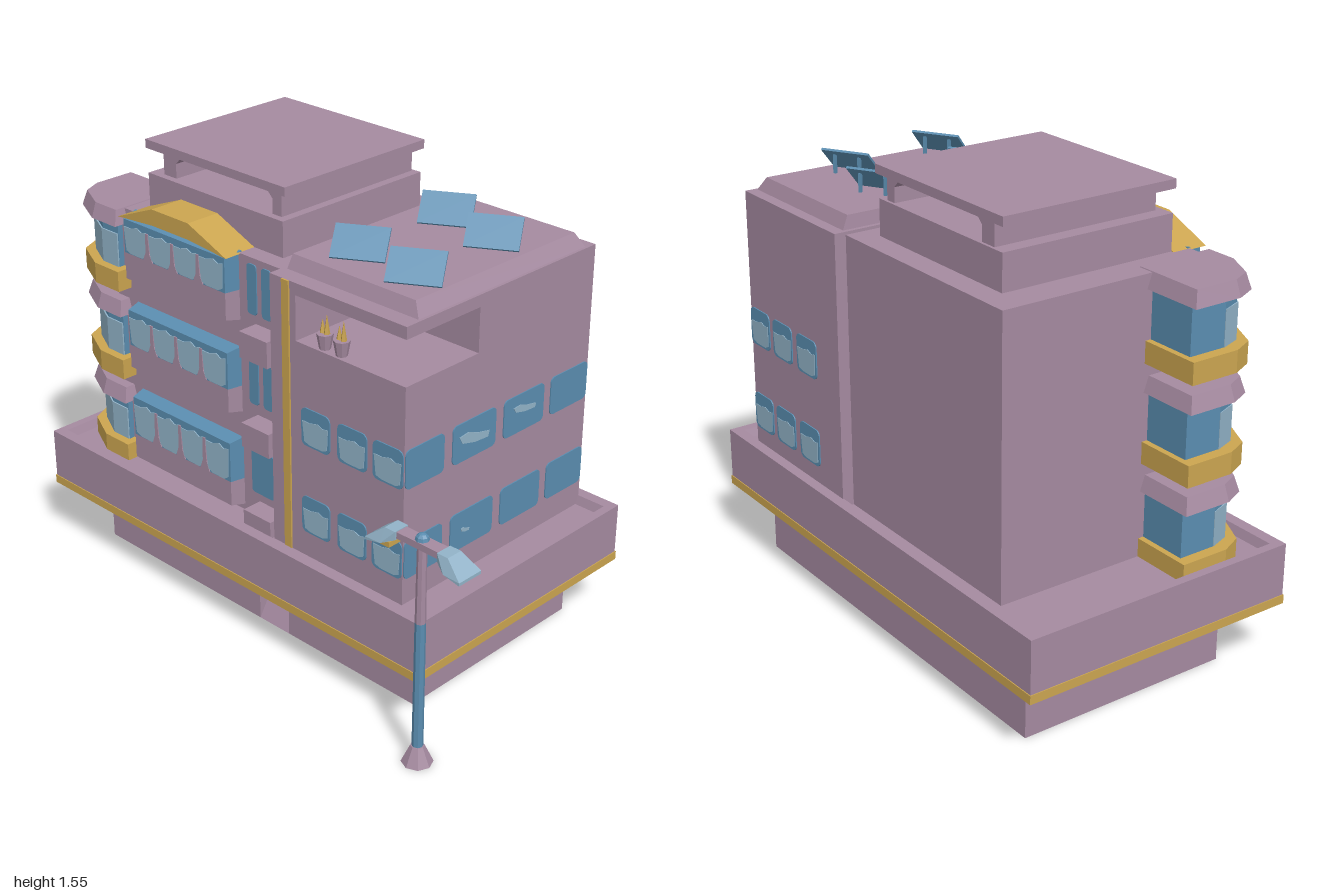
import * as THREE from 'three';
import { ConvexGeometry } from 'three/addons/geometries/ConvexGeometry.js';

const material = (name, color) =>
  new THREE.MeshStandardMaterial({ name, color, side: THREE.DoubleSide, flatShading: true });
const mauve = material('mauve plaster', 0xa58aa0);
const gold = material('gold trim', 0xcba550);
const blue = material('blue glass', 0x5a8db0);
const pale = material('pale reflection', 0x92b3c8);

export function createModel() {
  const model = new THREE.Group();

  const add = (name, geometry, mat, parent = model) => {
    const mesh = new THREE.Mesh(geometry, mat);
    mesh.name = name;
    parent.add(mesh);
    return mesh;
  };
  const box = (name, mat, x0, x1, y0, y1, z0, z1) => {
    const mesh = add(name, new THREE.BoxGeometry(x1 - x0, y1 - y0, z1 - z0), mat);
    mesh.position.set((x0 + x1) / 2, (y0 + y1) / 2, (z0 + z1) / 2);
    return mesh;
  };
  const hull = (name, mat, points) =>
    add(name, new ConvexGeometry(points.map((p) => new THREE.Vector3(...p))), mat);
  // Rectangle corners, level (y fixed) or upright (z fixed)
  const level = (x0, x1, z0, z1, y) => [[x0, y, z0], [x1, y, z0], [x1, y, z1], [x0, y, z1]];
  const upright = (x0, x1, y0, y1, z) => [[x0, y0, z], [x1, y0, z], [x1, y1, z], [x0, y1, z]];
  // Vertical prism over an [x, z] outline, optionally shrunk at the top
  const prism = (name, mat, outline, y0, y1, shrink = 1) => {
    const shape = new THREE.Shape(outline.map(([x, z]) => new THREE.Vector2(x, -z)));
    const g = new THREE.ExtrudeGeometry(shape, { depth: y1 - y0, bevelEnabled: false });
    g.rotateX(-Math.PI / 2);
    const p = g.attributes.position;
    for (let i = 0; i < p.count; i++) {
      if (p.getY(i) > (y1 - y0) / 2) {
        p.setX(i, -0.8 + (p.getX(i) + 0.8) * shrink);
        p.setZ(i, 0.2 + (p.getZ(i) - 0.2) * shrink);
      }
    }
    g.computeVertexNormals();
    add(name, g, mat).position.y = y0;
  };
  // Thin painted plate on a wall
  const plate = (name, mat, shape, x, y, z, turn = 0, depth = 0.004) => {
    const g = new THREE.ExtrudeGeometry(shape, { depth, bevelEnabled: false, curveSegments: 3 });
    const mesh = add(name, g, mat);
    mesh.position.set(x, y, z);
    mesh.rotation.y = turn;
  };
  const rounded = (w, h, r) => {
    const s = new THREE.Shape(), a = w / 2 - r, b = h / 2 - r;
    s.absarc(a, b, r, 0, Math.PI / 2);
    s.absarc(-a, b, r, Math.PI / 2, Math.PI);
    s.absarc(-a, -b, r, Math.PI, Math.PI * 1.5);
    s.absarc(a, -b, r, Math.PI * 1.5, Math.PI * 2);
    return s;
  };
  const blob = (w, h, points) =>
    new THREE.Shape(points.map(([u, v]) => new THREE.Vector2(u * w, v * h)));
  const wavy = [[-0.5, 0.4], [-0.42, -0.42], [-0.2, -0.5], [0.3, -0.5], [0.46, -0.4],
    [0.5, 0.45], [0.3, 0.4], [0.1, 0.5], [-0.2, 0.4]];
  const streak = [[-0.5, 0.4], [-0.4, -0.1], [0, -0.4], [0.45, -0.5], [0.5, -0.1], [0.1, 0.15], [-0.2, 0.5]];

  // Hollow base with a recessed ramp at the front
  box('baseBack', mauve, -0.86, 0.62, 0, 0.225, -0.46, -0.45);
  box('baseRight', mauve, -0.86, -0.85, 0, 0.225, -0.46, 0.3);
  box('baseLeft', mauve, 0.61, 0.62, 0, 0.225, -0.46, 0.3);
  box('baseFront', mauve, -0.86, -0.08, 0, 0.225, 0.29, 0.3);
  box('baseFront', mauve, 0.06, 0.62, 0, 0.225, 0.29, 0.3);
  const ramp = new THREE.BufferGeometry();
  ramp.setAttribute('position', new THREE.Float32BufferAttribute([
    -0.08, 0, 0.3, 0.06, 0, 0.3, 0.06, 0.22, 0.17, -0.08, 0.22, 0.17,
    -0.08, 0.22, 0.3, 0.06, 0.22, 0.3], 3));
  ramp.setIndex([0, 1, 2, 0, 2, 3, 0, 3, 4, 1, 5, 2]);
  const rampFlat = ramp.toNonIndexed();
  rampFlat.computeVertexNormals();
  add('entranceRamp', rampFlat, mauve);

  // Terrace with parapet and gold band
  box('terrace', mauve, -0.997, 0.757, 0.22, 0.4, -0.547, 0.437);
  box('terraceBand', gold, -1, 0.76, 0.222, 0.252, -0.55, 0.44);
  const X0 = -0.997, X1 = 0.757, Z0 = -0.547, Z1 = 0.437;
  for (const [z, s] of [[Z0, 1], [Z1, -1]])
    hull('parapet', mauve, [...level(X0, X1, z, z + s * 0.055, 0.39), ...level(X0, X1, z, z + s * 0.04, 0.43)]);
  for (const [x, s] of [[X0, 1], [X1, -1]])
    hull('parapet', mauve, [...level(x, x + s * 0.045, Z0, Z1, 0.39), ...level(x, x + s * 0.03, Z0, Z1, 0.43)]);

  // Left-hand wing with roof tier and canopy
  box('mainWing', mauve, -0.75, 0.06, 0.4, 1.32, -0.47, 0.3);
  box('roofTier', mauve, -0.64, -0.01, 1.32, 1.44, -0.39, 0.235);
  box('canopySlab', mauve, -0.655, -0.005, 1.52, 1.55, -0.4, 0.23);
  for (const [x0, x1, s] of [[-0.59, -0.53, 1], [-0.08, -0.04, -1]]) {
    box('canopyWall', mauve, x0, x1, 1.44, 1.52, -0.38, 0.21);
    const inner = s > 0 ? x1 : x0;
    hull('canopyBracket', mauve, [-0.38, 0.21].flatMap((z) =>
      [[inner, 1.49, z], [inner, 1.52, z], [inner + s * 0.03, 1.52, z]]));
  }

  // Corner-loggia wing, stacked around the opening
  box('sideWingBody', mauve, 0.06, 0.62, 0.4, 1.14, -0.51, 0.36);
  box('sideWingPier', mauve, 0.06, 0.17, 1.14, 1.29, -0.51, 0.36);
  box('sideWingRear', mauve, 0.17, 0.62, 1.14, 1.29, -0.51, 0.04);
  box('sideWingTop', mauve, 0.06, 0.62, 1.29, 1.33, -0.51, 0.36);
  hull('sideRoof', mauve, [...level(0.075, 0.61, -0.47, 0.3, 1.33), ...level(0.08, 0.58, -0.45, 0.28, 1.375)]);
  box('goldStripe', gold, 0.115, 0.145, 0.4, 1.33, 0.36, 0.366);

  // Potted plants in the loggia
  for (const x of [0.27, 0.34]) {
    add('plantPot', new THREE.CylinderGeometry(0.027, 0.018, 0.05, 8), mauve).position.set(x, 1.165, 0.335);
    for (const [dx, h] of [[-0.01, 0.05], [0.008, 0.07]])
      add('plantLeaf', new THREE.ConeGeometry(0.011, h, 5), gold).position.set(x + dx, 1.185 + h / 2, 0.335);
  }

  // Wing windows on front, back and side
  for (const y of [0.555, 0.865]) {
    for (const x of [0.255, 0.41, 0.557]) {
      plate('wingWindow', blue, rounded(0.122, 0.13, 0.02), x, y, 0.36);
      plate('wingReflection', pale, blob(0.11, 0.085, wavy), x, y - 0.015, 0.362);
      plate('wingWindow', blue, rounded(0.122, 0.13, 0.02), x, y, -0.51, Math.PI);
      plate('wingReflection', pale, blob(0.11, 0.085, wavy), x, y - 0.015, -0.512, Math.PI);
    }
    for (const [z, w] of [[0.272, 0.17], [0.048, 0.2], [-0.188, 0.195], [-0.413, 0.185]])
      plate('sideWindow', blue, rounded(w, 0.132, 0.018), 0.62, y, z, Math.PI / 2);
  }
  for (const [z, y, w, h] of [[0.05, 0.867, 0.14, 0.05], [-0.19, 0.878, 0.11, 0.035], [0.08, 0.552, 0.04, 0.02]])
    plate('sideReflection', pale, blob(w, h, streak), 0.622, y, z, Math.PI / 2);

  // Projecting front bays: plaster below, glass above
  for (const [bottom, sill, top] of [[1.09, 1.195, 1.325], [0.765, 0.86, 1], [0.42, 0.52, 0.675]]) {
    hull('bayPanel', mauve, [...upright(-0.65, -0.14, bottom, sill, 0.29), ...upright(-0.638, -0.152, bottom + 0.012, sill, 0.352)]);
    hull('bayGlass', blue, [...upright(-0.65, -0.14, sill, top, 0.29), ...upright(-0.638, -0.152, sill, top - 0.012, 0.352)]);
    for (let i = 0; i < 4; i++) {
      const x = -0.58 + i * 0.122;
      plate('bayReflection', pale, blob(0.11, top - sill - 0.03, wavy), x, (sill + top) / 2 - 0.012, 0.351);
      if (i < 3)
        plate('curtain', mauve, blob(0.045, top - sill - 0.035, [[-0.5, -0.5], [0.5, -0.5], [0.2, -0.2], [0.1, 0.5], [-0.15, 0.5], [-0.2, -0.2]]),
          x + 0.061, (sill + top) / 2 - 0.016, 0.352);
    }
  }
  // Gold arch over the top bay
  const arch = new THREE.Shape();
  arch.moveTo(-0.655, 1.318);
  arch.quadraticCurveTo(-0.395, 1.475, -0.135, 1.318);
  arch.quadraticCurveTo(-0.395, 1.35, -0.655, 1.318);
  plate('goldArch', gold, arch, 0, 0, 0.235, 0, 0.125);

  // Narrow stair windows and ledges
  for (const y of [1.215, 0.9])
    for (const x of [-0.082, -0.017])
      plate('stairWindow', blue, rounded(0.042, 0.17, 0.012), x, y, 0.3);
  plate('stairWindow', blue, rounded(0.105, 0.16, 0.012), -0.048, 0.57, 0.3);
  for (const [y0, y1] of [[1.01, 1.1], [0.695, 0.78], [0.4, 0.46]])
    box('stairLedge', mauve, -0.07, 0.055, y0, y1, 0.3, 0.373);

  // Rounded corner balconies
  const outer = [[-0.68, 0.05], [-0.96, 0.05], [-0.96, 0.22], [-0.925, 0.295], [-0.8, 0.355], [-0.68, 0.355]];
  const glass = [[-0.71, 0.07], [-0.922, 0.07], [-0.922, 0.2], [-0.895, 0.268], [-0.79, 0.32], [-0.71, 0.32]];
  const shine = [[-0.712, 0.2], [-0.924, 0.2], [-0.898, 0.272], [-0.791, 0.325], [-0.712, 0.325]];
  for (const y of [1.04, 0.715, 0.39]) {
    prism('balconyRail', gold, outer, y, y + 0.072);
    prism('balconyGlass', blue, glass, y + 0.07, y + 0.24);
    prism('balconyReflection', pale, shine, y + 0.072, y + 0.19);
    prism('balconyEave', mauve, outer, y + 0.232, y + 0.283, 0.88);
  }

  // Tilted solar panels on legs
  for (const [x, z] of [[0.235, -0.243], [0.467, -0.195], [0.238, 0.152], [0.482, 0.172]]) {
    const solar = new THREE.Group();
    solar.name = 'solarPanel';
    solar.position.set(x, 1.375, z);
    solar.rotation.y = Math.PI / 6;
    const sheet = add('panelSheet', new THREE.BoxGeometry(0.172, 0.008, 0.115), blue, solar);
    sheet.position.y = 0.042;
    sheet.rotation.x = 0.75;
    for (const dx of [-0.045, 0.045])
      add('panelLeg', new THREE.BoxGeometry(0.01, 0.062, 0.01), blue, solar).position.set(dx, 0.031, -0.027);
    model.add(solar);
  }

  // Street lamp with two heads
  const lx = 0.82, lz = 0.5;
  const round = (name, mat, r0, r1, y0, y1) =>
    add(name, new THREE.CylinderGeometry(r1, r0, y1 - y0, 8), mat).position.set(lx, (y0 + y1) / 2, lz);
  round('lampFoot', mauve, 0.05, 0.022, 0, 0.06);
  round('lampPoleLower', blue, 0.018, 0.017, 0.06, 0.5);
  round('lampPoleUpper', mauve, 0.017, 0.015, 0.5, 0.77);
  add('lampFinial', new THREE.SphereGeometry(0.022, 8, 6), blue).position.set(lx, 0.78, lz);
  box('lampArm', mauve, lx - 0.1, lx + 0.1, 0.758, 0.78, lz - 0.022, lz + 0.022);
  for (const s of [-1, 1]) {
    const a = lx + s * 0.08, b = lx + s * 0.12, c = lx + s * 0.18;
    hull('lampShade', pale, [
      ...[-0.028, 0.028].flatMap((d) => [[a, 0.782, lz + d], [b, 0.782, lz + d], [a, 0.755, lz + d]]),
      ...[-0.047, 0.047].flatMap((d) => [[c, 0.735, lz + d], [c, 0.725, lz + d], [b, 0.737, lz + d]])]);
    add('lampBulb', new THREE.BoxGeometry(0.06, 0.018, 0.05), gold).position.set(lx + s * 0.135, 0.727, lz);
  }
  return model;
}
